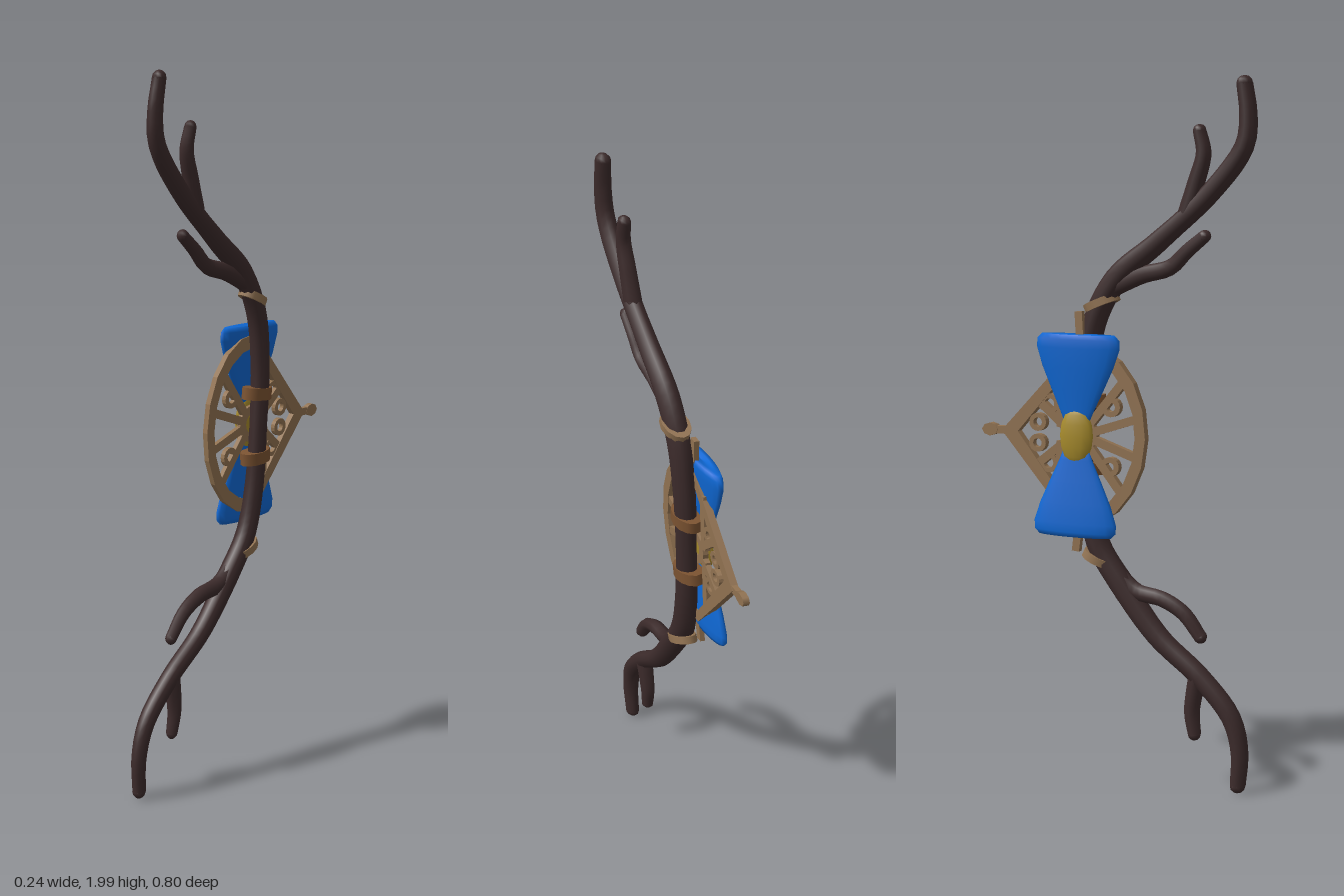
import * as THREE from 'three';
import { mergeGeometries } from 'three/addons/utils/BufferGeometryUtils.js';

const material = (name, color) => {
  const m = new THREE.MeshStandardMaterial({ color });
  m.name = name;
  return m;
};

// Parts are drawn flat (a = depth, b = height, c = offset to the model's right),
// then this matrix leans them into the slightly twisted plane of the bow.
const LEAN = new THREE.Matrix4().set(
  0.185, 0.038, -1, -0.0395,
  0, 1, 0, 0,
  1, 0, 0, 0,
  0, 0, 0, 1);

const path = pts => new THREE.CatmullRomCurve3(pts.map(([a, b]) => new THREE.Vector3(a, b, 0)));

// Tube whose radius follows a list of values, with a round tip at each end
function taperedTube(pts, radii, segments = 32, sides = 10) {
  const curve = path(pts);
  const geo = new THREE.TubeGeometry(curve, segments, 1, sides);
  const pos = geo.attributes.position, v = new THREE.Vector3();
  for (let i = 0; i <= segments; i++) {
    const t = i / segments, p = curve.getPointAt(t);
    const f = t * (radii.length - 1), k = Math.min(Math.floor(f), radii.length - 2);
    const r = THREE.MathUtils.lerp(radii[k], radii[k + 1], f - k);
    for (let j = 0; j <= sides; j++) {
      const n = i * (sides + 1) + j;
      v.fromBufferAttribute(pos, n).sub(p).multiplyScalar(r).add(p);
      pos.setXYZ(n, v.x, v.y, v.z);
    }
  }
  const caps = [0, 1].map(t => {
    const p = curve.getPointAt(t);
    return new THREE.SphereGeometry(radii[t * (radii.length - 1)], sides, 6).translate(p.x, p.y, p.z);
  });
  return mergeGeometries([geo, ...caps]);
}

// Flat bar between two points
function bar(a1, b1, a2, b2, width, depth = 0.016) {
  return new THREE.BoxGeometry(Math.hypot(a2 - a1, b2 - b1), width, depth)
    .rotateZ(Math.atan2(b2 - b1, a2 - a1))
    .translate((a1 + a2) / 2, (b1 + b2) / 2, 0.032);
}

// Flat ring
function ring(a, b, outer, inner) {
  const s = new THREE.Shape().absarc(0, 0, outer, 0, Math.PI * 2);
  s.holes.push(new THREE.Path().absarc(0, 0, inner, 0, Math.PI * 2, true));
  return new THREE.ExtrudeGeometry(s, { depth: 0.016, bevelEnabled: false, curveSegments: 8 })
    .translate(a, b, 0.024);
}

export function createModel() {
  const root = new THREE.Group();
  root.name = 'branchBow';
  const wood = material('dark wood', 0x3c2b2b);
  const tan = material('tan carving', 0x927352);
  const leather = material('brown leather', 0x7d5432);
  const blue = material('blue cloth', 0x0f68d4);
  const gold = material('gold', 0xa88c2c);

  const add = (name, geo, mat) => {
    const mesh = new THREE.Mesh(geo.applyMatrix4(LEAN), mat);
    mesh.name = name;
    root.add(mesh);
  };

  // Main curved branch
  add('mainBranch', taperedTube([
    [0.335, 1.976], [0.348, 1.89], [0.34, 1.81], [0.25, 1.685], [0.10, 1.545], [-0.01, 1.45],
    [-0.075, 1.335], [-0.1, 1.19], [-0.1, 1.0], [-0.087, 0.81], [-0.055, 0.68], [0.015, 0.575],
    [0.13, 0.43], [0.257, 0.326], [0.35, 0.22], [0.378, 0.125], [0.376, 0.024]],
    [0.021, 0.027, 0.027, 0.033, 0.031, 0.028, 0.031, 0.034, 0.029, 0.027, 0.021], 80), wood);

  // Side tines
  const tines = {
    upperOuterTine: [[0.213, 1.85], [0.226, 1.79], [0.207, 1.71], [0.185, 1.63]],
    upperInnerTine: [[0.235, 1.565], [0.185, 1.522], [0.14, 1.478], [0.06, 1.455], [-0.02, 1.42]],
    lowerInnerTine: [[0.255, 0.442], [0.204, 0.505], [0.14, 0.54], [0.06, 0.555], [0, 0.6]],
    lowerOuterTine: [[0.245, 0.158], [0.236, 0.22], [0.243, 0.29], [0.25, 0.33]],
  };
  for (const [name, pts] of Object.entries(tines))
    add(name, taperedTube(pts, [0.018, 0.023, 0.026], 16, 8), wood);

  // Diagonal cord wraps around the branch
  for (const [a, b, turn] of [[-0.06, 1.373, 0.42], [-0.05, 0.642, -0.39]])
    add('cordWrap', new THREE.CylinderGeometry(1, 1, 0.022, 12)
      .scale(0.052, 1, 0.038).rotateZ(turn).translate(a, b, 0), tan);

  // Cords running from the wraps down to the frame
  add('upperCord', bar(-0.108, 1.35, -0.1, 1.25, 0.022, 0.014), tan);
  add('lowerCord', bar(-0.104, 0.665, -0.095, 0.75, 0.022, 0.014), tan);

  // Drop-shaped carved frame: arc at the front, straight sides meeting at the back
  const outline = (path, r, tip) => {
    path.moveTo(tip, 1);
    path.lineTo(-0.11, 1 - r * 1.26);
    const n = 10;
    for (let i = 0; i <= n; i++) {
      const t = -Math.PI / 2 + Math.PI * i / n;
      path.lineTo(-0.1 + r * 0.95 * Math.cos(t), 1 + r * 1.26 * Math.sin(t));
    }
    path.lineTo(tip, 1);
    return path;
  };
  const frame = outline(new THREE.Shape(), 0.21, -0.335);
  frame.holes.push(outline(new THREE.Path(), 0.178, -0.285));
  add('carvedFrame', new THREE.ExtrudeGeometry(frame, { depth: 0.02, bevelEnabled: false })
    .translate(0, 0, 0.022), tan);

  // Rear handle with a small rounded end
  add('rearHandle', bar(-0.3, 1, -0.38, 1, 0.022, 0.016), tan);
  add('handleEnd', new THREE.CylinderGeometry(0.019, 0.019, 0.018, 8).rotateX(Math.PI / 2)
    .scale(1.3, 1, 1).translate(-0.373, 1, 0.032), tan);

  // Tracery: spokes and scrolls, mirrored above and below the middle
  add('hubRing', ring(-0.1, 1, 0.055, 0.03), tan);
  for (const s of [1, -1]) {
    const spokes = [[0.085, 0.06, -0.06, 0.01], [0.035, 0.165, -0.07, 0.03],
      [-0.155, 0.02, -0.155, 0.2], [-0.14, 0.02, -0.235, 0.1]];
    for (const [a1, b1, a2, b2] of spokes)
      add('spoke', bar(a1, 1 + s * b1, a2, 1 + s * b2, 0.024), tan);
    add('frontScroll', ring(-0.005, 1 + s * 0.085, 0.028, 0.013), tan);
    add('rearScroll', ring(-0.19, 1 + s * 0.085, 0.028, 0.015), tan);
    add('tailScroll', ring(-0.225, 1 + s * 0.03, 0.026, 0.013), tan);

    // Leather strap tying the frame to the branch
    add('strap', new THREE.CylinderGeometry(1, 1, 0.035, 12)
      .scale(0.055, 1, 0.038).rotateZ(s * 0.08).translate(-0.096, 1 + s * 0.093, 0.006), leather);

    // Padded fan of the ribbon, narrow at the knot and wide outside
    const profile = [[0, 0], [0.25, 0.01], [0.4, 0.18], [0.64, 0.42], [0.86, 0.65], [1, 0.85],
      [0.99, 0.94], [0.88, 0.99], [0.5, 0.985], [0, 0.965]].map(p => new THREE.Vector2(...p));
    add(s > 0 ? 'upperRibbonFan' : 'lowerRibbonFan', new THREE.LatheGeometry(profile, 20)
      .scale(0.124, 0.27, 0.026)
      .rotateZ(s > 0 ? 0 : Math.PI)
      .translate(-0.1, 1 + s * 0.02, 0.05), blue);
  }

  // Flat knot in the middle of the ribbon
  add('ribbonKnot', new THREE.SphereGeometry(1, 12, 8).scale(0.05, 0.085, 0.02)
    .translate(-0.1, 1, 0.05), gold);

  return root;
}
